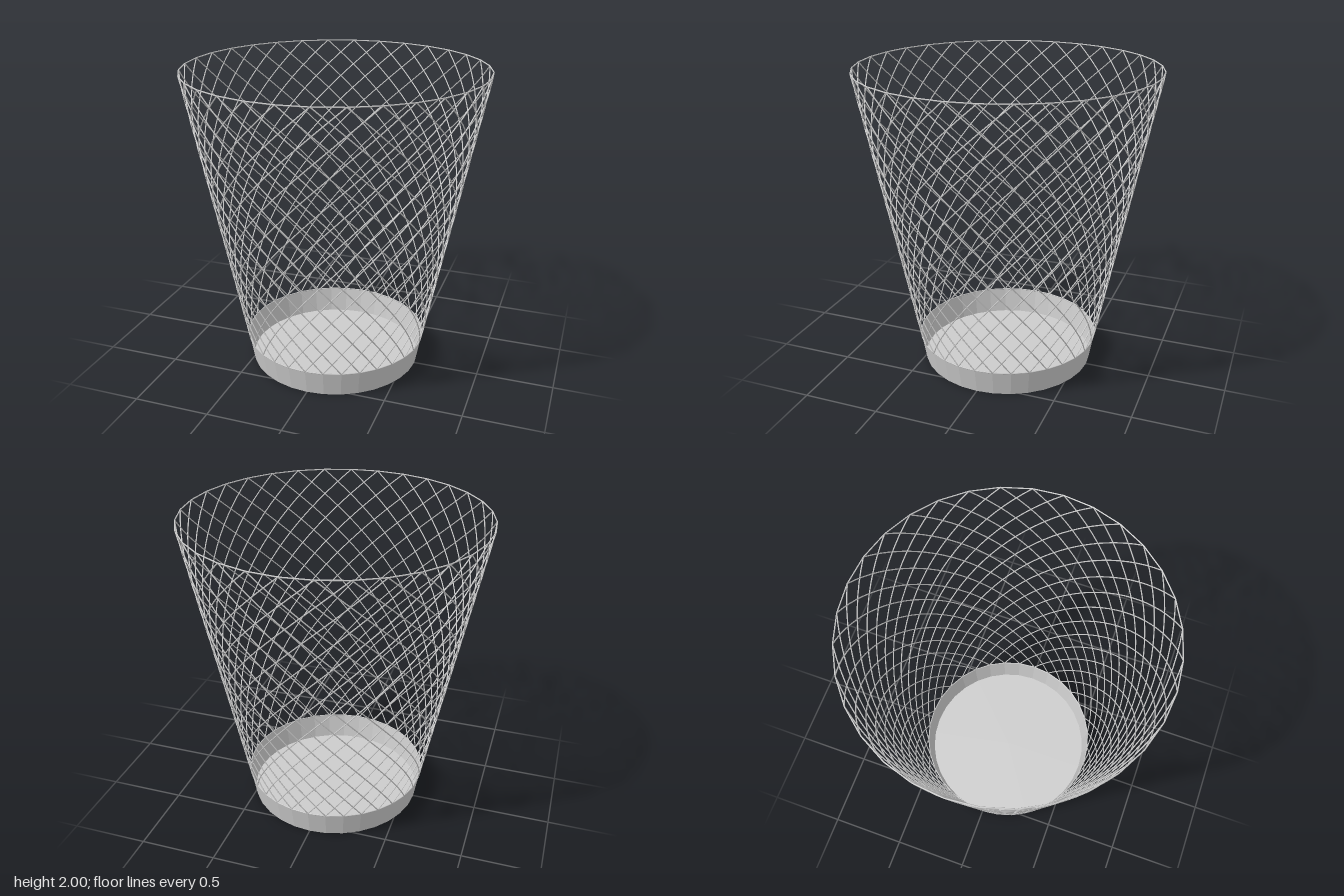
import * as THREE from 'three';

const SIDES = 32;            // wires in each direction, and facets of the base and rim
const STEP = (Math.PI * 2) / SIDES;
const TURN = 11 * STEP;      // how far each wire winds from band to rim
const WIRE = 0.004;          // wire radius
const BAND_TOP = 0.17, TOP = 2 - WIRE;
const R_FLOOR = 0.57, R_BAND = 0.6, R_TOP = 0.962;

// Wire winding up the cone
class ConeHelix extends THREE.Curve {
  constructor(direction) {
    super();
    this.direction = direction;
  }
  getPoint(t, target = new THREE.Vector3()) {
    const angle = this.direction * t * TURN;
    const r = THREE.MathUtils.lerp(R_BAND, R_TOP, t);
    return target.set(
      r * Math.sin(angle),
      THREE.MathUtils.lerp(BAND_TOP, TOP, t),
      r * Math.cos(angle)
    );
  }
}

export function createModel() {
  const group = new THREE.Group();
  const wireMat = new THREE.MeshStandardMaterial({ color: 0xcccccc });
  const sheetMat = new THREE.MeshStandardMaterial({
    color: 0xcccccc, flatShading: true, side: THREE.DoubleSide,
  });

  const add = (name, geometry, material, parent = group) => {
    const mesh = new THREE.Mesh(geometry, material);
    mesh.name = name;
    parent.add(mesh);
    return mesh;
  };

  // Solid base: flared band and flat floor
  const band = add('baseBand',
    new THREE.CylinderGeometry(R_BAND, R_FLOOR, BAND_TOP, SIDES, 1, true), sheetMat);
  band.position.y = BAND_TOP / 2;
  const floor = add('floor', new THREE.CircleGeometry(R_FLOOR, SIDES), sheetMat);
  floor.rotation.x = -Math.PI / 2;

  // Wire hoops at the mouth and on the edge of the band
  const hoop = (name, radius, y) => {
    const mesh = add(name, new THREE.TorusGeometry(radius, WIRE, 6, SIDES), wireMat);
    mesh.rotation.x = Math.PI / 2;
    mesh.position.y = y;
  };
  hoop('topRim', R_TOP, TOP);
  hoop('bandRim', R_BAND, BAND_TOP);

  // Two crossing families of wires form the diamond mesh
  for (const [name, direction] of [['leftWoundWires', 1], ['rightWoundWires', -1]]) {
    const family = new THREE.Group();
    family.name = name;
    const geometry = new THREE.TubeGeometry(new ConeHelix(direction), 33, WIRE, 5);
    for (let i = 0; i < SIDES; i++) {
      add('wire', geometry, wireMat, family).rotation.y = i * STEP;
    }
    group.add(family);
  }

  return group;
}
